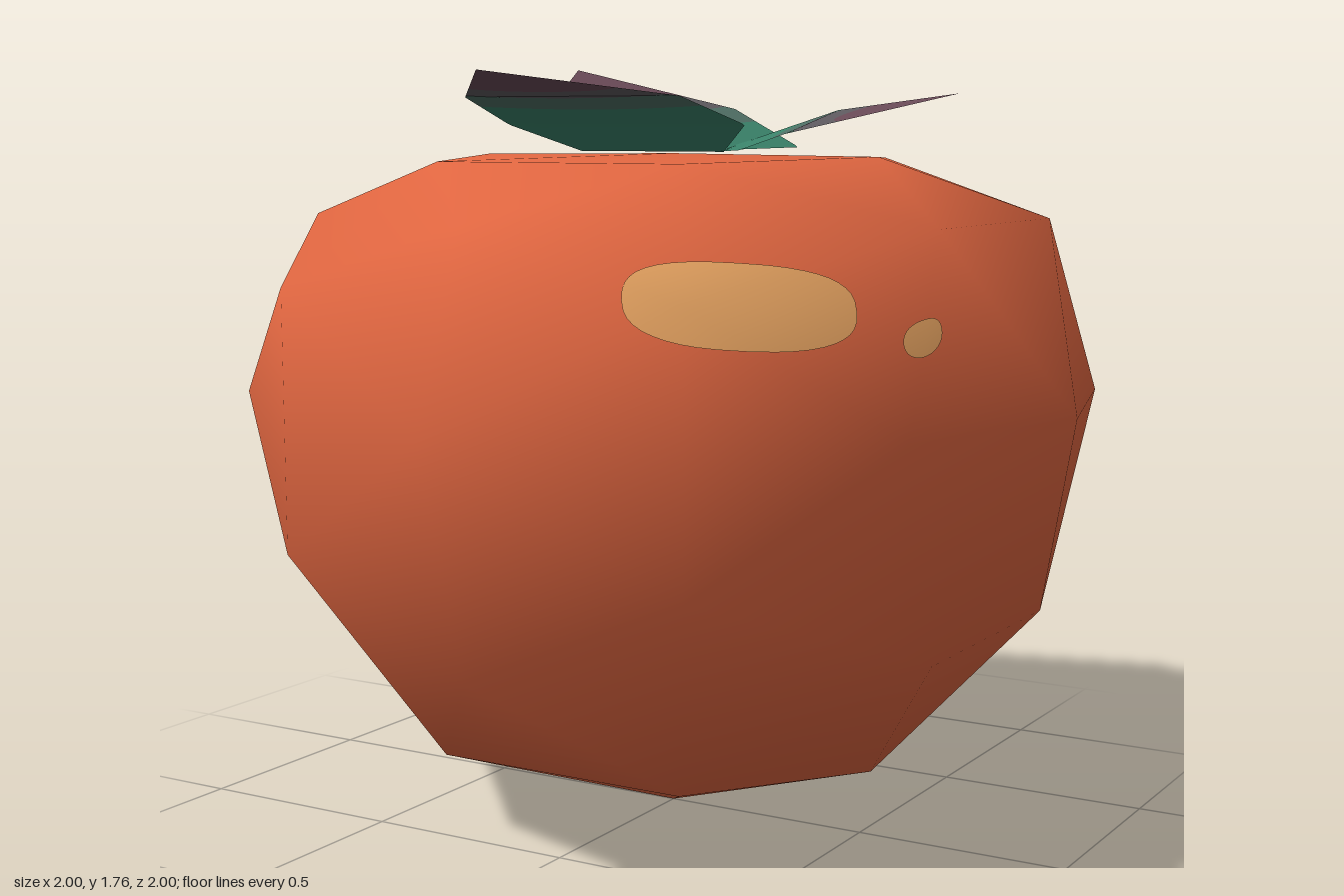
import * as THREE from 'three';
import { mergeVertices } from 'three/addons/utils/BufferGeometryUtils.js';

const mat = (name, color, side = THREE.FrontSide) => {
  const m = new THREE.MeshStandardMaterial({ color, side });
  m.name = name;
  return m;
};

// Low-poly smooth-shaded fruit: a subdivided icosahedron with a flattened top
function bodyGeometry() {
  let geo = new THREE.IcosahedronGeometry(1, 1);
  geo.deleteAttribute('normal');
  geo.deleteAttribute('uv');
  geo = mergeVertices(geo, 1e-3);
  const levels = [[0, 0], [0.309, 0.275], [0.5, 0.41], [0.526, 0.42], [0.809, 0.54], [0.851, 0.55], [1.01, 0.555]];
  const flatten = (y) => {
    if (y <= 0.001) return y;
    const i = levels.findIndex((l) => l[0] >= y - 1e-4);
    const [a, b] = [levels[i - 1], levels[i]];
    return THREE.MathUtils.mapLinear(y, a[0], b[0], a[1], b[1]);
  };
  const p = geo.attributes.position;
  for (let i = 0; i < p.count; i++) p.setY(i, 1 + flatten(p.getY(i)));
  geo.computeVertexNormals();
  return geo;
}

// Grid surface from a function of (s, t) in 0..1
function gridGeometry(cols, rows, point) {
  const pos = [], idx = [];
  for (let j = 0; j <= rows; j++) {
    for (let i = 0; i <= cols; i++) pos.push(...point(i / cols, j / rows).toArray());
  }
  for (let j = 0; j < rows; j++) {
    for (let i = 0; i < cols; i++) {
      const a = j * (cols + 1) + i, b = a + cols + 1;
      idx.push(a, b, a + 1, a + 1, b, b + 1);
    }
  }
  const geo = new THREE.BufferGeometry();
  geo.setAttribute('position', new THREE.Float32BufferAttribute(pos, 3));
  geo.setIndex(idx);
  geo.computeVertexNormals();
  return geo;
}

// Leaf through rows of [one edge, other edge], split into curved colour bands
function makeLeaf(name, rows, mats) {
  const leaf = new THREE.Group();
  leaf.name = name;
  const pts = rows.map((r) => r.map((q) => new THREE.Vector3(...q)));
  const at = (s, v) => {
    const k = Math.min(Math.floor(v), 2), f = v - k;
    const low = pts[k][0].clone().lerp(pts[k][1], s);
    return low.lerp(pts[k + 1][0].clone().lerp(pts[k + 1][1], s), f);
  };
  const limits = [
    () => 0,
    (u) => 1.55 + 0.12 * u * u,
    (u) => 1.94 + 0.12 * u * u,
    (u) => 2.18 + 0.14 * u * u,
    () => 3,
  ];
  mats.forEach((m, k) => {
    const geo = gridGeometry(12, k === 0 ? 24 : 12, (s, t) => {
      const u = s * 2 - 1;
      return at(s, THREE.MathUtils.lerp(limits[k](u), limits[k + 1](u), t));
    });
    const mesh = new THREE.Mesh(geo, m);
    mesh.name = `${name}Band${k + 1}`;
    leaf.add(mesh);
  });
  return leaf;
}

// Thin rounded patch laid onto the fruit by casting rays at it
function makePatch(name, body, material, center, halfW, halfH, tilt, power) {
  const c = new THREE.Vector3(...center);
  const out = new THREE.Vector3(c.x, 0, c.z).normalize();
  const side = new THREE.Vector3(out.z, 0, -out.x);
  const ray = new THREE.Raycaster();
  const round = (v) => Math.sign(v) * Math.abs(v) ** power;
  const rings = 8, segs = 40, pos = [], nor = [], idx = [];
  for (let j = 0; j <= rings; j++) {
    for (let i = 0; i <= segs; i++) {
      const a = (i / segs) * Math.PI * 2, r = j / rings;
      const u = r * round(Math.cos(a)), v = r * round(Math.sin(a));
      const from = c.clone().addScaledVector(side, u * halfW).addScaledVector(out, 2);
      from.y += v * halfH + u * tilt;
      ray.set(from, out.clone().negate());
      const hit = ray.intersectObject(body)[0];
      pos.push(...hit.point.addScaledVector(out, 0.006).toArray());
      nor.push(...hit.normal.toArray());
      if (j < rings && i < segs) {
        const k = j * (segs + 1) + i, n = k + segs + 1;
        idx.push(k, n, k + 1, k + 1, n, n + 1);
      }
    }
  }
  const geo = new THREE.BufferGeometry();
  geo.setAttribute('position', new THREE.Float32BufferAttribute(pos, 3));
  geo.setAttribute('normal', new THREE.Float32BufferAttribute(nor, 3));
  geo.setIndex(idx);
  const mesh = new THREE.Mesh(geo, material);
  mesh.name = name;
  return mesh;
}

export function createModel() {
  const model = new THREE.Group();
  model.name = 'fruit';

  const body = new THREE.Mesh(bodyGeometry(), mat('orangeSkin', 0xe26741));
  body.name = 'body';
  body.updateMatrixWorld();
  model.add(body);

  // Highlights on the front left shoulder
  const shine = mat('paleHighlight', 0xe2a05f);
  model.add(
    makePatch('largeHighlight', body, shine, [0.57, 1.27, 0.7], 0.235, 0.082, -0.015, 0.75),
    makePatch('smallHighlight', body, shine, [0.825, 1.2, 0.42], 0.052, 0.034, 0.014, 0.9),
  );

  // Crown of three leaves, green at the base and mauve at the tip
  const leafMats = [
    ['leafGreen', 0x3a836a],
    ['leafGreyGreen', 0x4f6f65],
    ['leafGreyMauve', 0x5e5a5f],
    ['leafMauve', 0x6a4a57],
  ].map(([n, c]) => mat(n, c, THREE.DoubleSide));
  model.add(
    makeLeaf('frontLeaf', [
      [[-0.19, 1.56, 0.1], [0.19, 1.56, 0.1]],
      [[-0.31, 1.62, 0.22], [0.31, 1.62, 0.22]],
      [[-0.275, 1.68, 0.44], [0.275, 1.68, 0.44]],
      [[0, 1.73, 0.78], [0, 1.73, 0.78]],
    ], leafMats),
    makeLeaf('leftLeaf', [
      [[0.17, 1.56, 0.1], [0, 1.56, -0.22]],
      [[0.28, 1.565, 0.19], [0.01, 1.585, -0.37]],
      [[0.37, 1.6, 0.15], [0.24, 1.655, -0.375]],
      [[0.635, 1.69, -0.19], [0.635, 1.69, -0.19]],
    ], leafMats),
    makeLeaf('rightLeaf', [
      [[0.01, 1.56, -0.23], [-0.15, 1.56, 0.1]],
      [[0.095, 1.565, -0.45], [-0.2, 1.58, 0.11]],
      [[-0.12, 1.66, -0.51], [-0.36, 1.66, -0.02]],
      [[-0.53, 1.76, -0.41], [-0.53, 1.76, -0.41]],
    ], leafMats),
  );
  return model;
}
